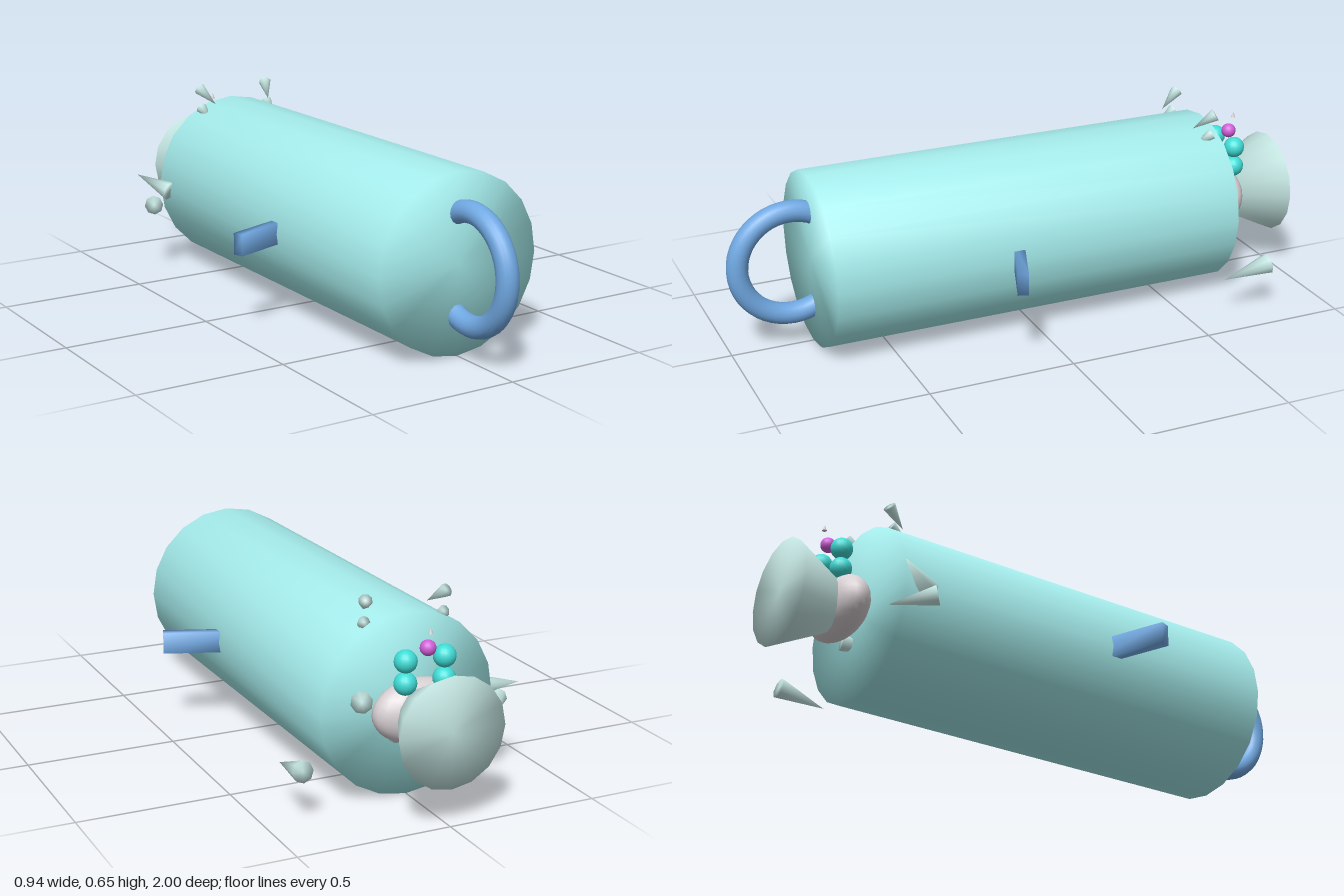
import * as THREE from 'three';
import { mergeVertices } from 'three/addons/utils/BufferGeometryUtils.js';

const mat = (color) => new THREE.MeshStandardMaterial({ color });
const teal = mat(0xa6eded), blue = mat(0x70a8e2), pale = mat(0xc6e8e4);
const head = mat(0xd8d0d3), eye = mat(0x40dcd6), pink = mat(0xd060d8);

// Share normals across the rims so caps and sides shade as one surface
function soften(geometry) {
  geometry.deleteAttribute('uv');
  geometry.deleteAttribute('normal');
  const g = mergeVertices(geometry, 1e-4);
  g.computeVertexNormals();
  return g;
}

export function createModel() {
  const model = new THREE.Group();
  const add = (name, geometry, material, x = 0, y = 0, z = 0) => {
    const mesh = new THREE.Mesh(geometry, material);
    mesh.name = name;
    mesh.position.set(x, y, z);
    model.add(mesh);
    return mesh;
  };

  // Cone from the centre of its base to its tip
  const up = new THREE.Vector3(0, 1, 0);
  const spike = (name, base, tip, radius) => {
    const a = new THREE.Vector3(...base), b = new THREE.Vector3(...tip);
    const axis = b.clone().sub(a);
    const mesh = add(name, soften(new THREE.ConeGeometry(radius, axis.length(), 8)), pale);
    mesh.position.copy(a).add(b).multiplyScalar(0.5);
    mesh.quaternion.setFromUnitVectors(up, axis.normalize());
  };

  // Long barrel body lying along z
  const barrel = new THREE.CylinderGeometry(0.296, 0.296, 1.44, 20);
  add('body', soften(barrel.rotateX(Math.PI / 2)), teal, 0, 0.297, 0);

  // Ring handle on the front end
  const ring = new THREE.TorusGeometry(0.18, 0.036, 16, 48).rotateY(Math.PI / 2);
  add('handle', ring, blue, 0, 0.297, 0.784);

  // Side arms, swept towards the front
  for (const s of [-1, 1]) {
    const arm = add(s > 0 ? 'leftArm' : 'rightArm',
      soften(new THREE.BoxGeometry(0.26, 0.072, 0.036)), blue, s * 0.343, 0.298, 0.118);
    arm.rotation.y = -s * 0.36;
  }

  // Rear head and flared cone behind it
  add('head', new THREE.SphereGeometry(1, 24, 16).scale(0.155, 0.103, 0.077), head, 0, 0.3, -0.79);
  add('flare', soften(new THREE.ConeGeometry(0.178, 0.35, 16).rotateX(Math.PI / 2)),
    pale, 0, 0.298, -0.825);

  // Stacked eye beads, centre bead and its tiny tip
  for (const s of [-1, 1]) {
    for (const y of [0.405, 0.475]) {
      add('eyeBead', new THREE.SphereGeometry(0.036, 16, 12), eye, s * 0.066, y, -0.825);
    }
  }
  add('centreBead', new THREE.SphereGeometry(0.025, 16, 12), pink, 0, 0.513, -0.84);
  add('tinyTip', new THREE.ConeGeometry(0.008, 0.02, 8), head, 0, 0.571, -0.856);

  // Paired ears on top of the rear end
  for (const s of [-1, 1]) {
    spike('upperEar', [s * 0.138, 0.637, -0.7], [s * 0.11, 0.588, -0.63], 0.022);
    spike('lowerEar', [s * 0.137, 0.567, -0.69], [s * 0.13, 0.53, -0.62], 0.02);
  }

  // Loose claws around the rear end
  const claws = [
    [[0.385, 0.165, -0.79], [0.385, 0.134, -0.62], 0.035],
    [[-0.362, 0.24, -0.645], [-0.27, 0.21, -0.767], 0.034],
    [[-0.3, 0.285, -0.64], [-0.365, 0.33, -0.767], 0.034],
    [[0.17, 0.335, -0.745], [0.1, 0.3, -0.62], 0.035],
    [[0.05, 0.215, -0.745], [0.02, 0.2, -0.62], 0.03],
  ];
  claws.forEach((c) => spike('claw', ...c));

  return model;
}
